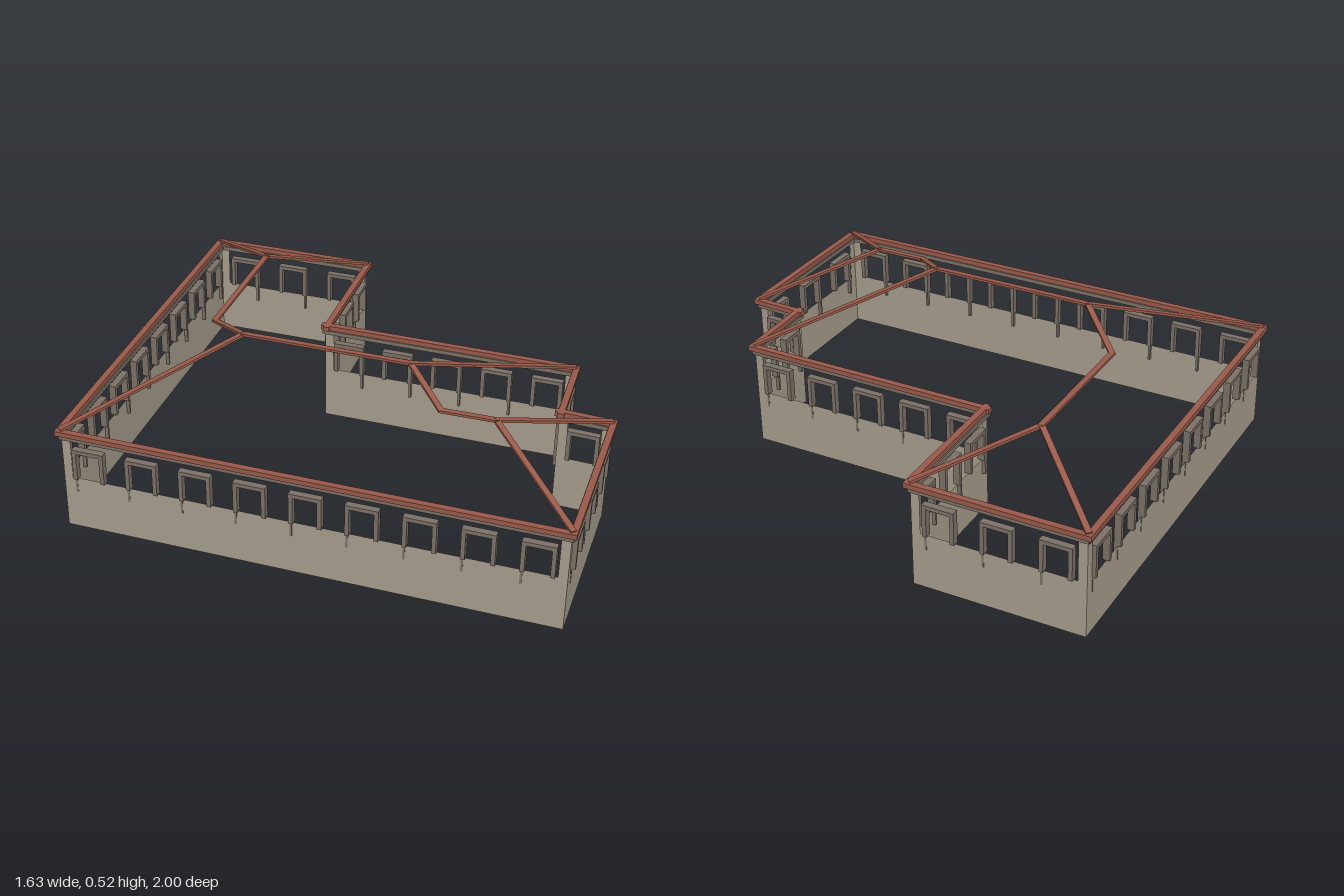
import * as THREE from 'three';

const wallMat = new THREE.MeshStandardMaterial({ color: 0xa89e8d, side: THREE.DoubleSide });
wallMat.name = 'stone wall';
const trimMat = new THREE.MeshStandardMaterial({ color: 0x7d7268 });
trimMat.name = 'grey timber';
const roofMat = new THREE.MeshStandardMaterial({ color: 0x9a5a4a });
roofMat.name = 'red roof timber';

// Plan corners (x, z), walked with the interior on the local +z side
const corners = [
  [0.015, -0.98], [0.435, -0.645], [0.155, -0.295], [0.795, 0.22],
  [0.635, 0.43], [0.755, 0.535], [0.395, 0.98], [-0.795, 0.018],
];
const windowCounts = [3, 3, 5, 2, 1, 3, 9, 8];

const SILL = 0.18, HEAD = 0.285, EAVE = 0.343;

function box(parent, name, mat, size, pos) {
  const mesh = new THREE.Mesh(new THREE.BoxGeometry(...size), mat);
  mesh.name = name;
  mesh.position.set(...pos);
  parent.add(mesh);
  return mesh;
}

function sheet(parent, name, x0, x1, y0, y1) {
  const mesh = new THREE.Mesh(new THREE.PlaneGeometry(x1 - x0, y1 - y0), wallMat);
  mesh.name = name;
  mesh.position.set((x0 + x1) / 2, (y0 + y1) / 2, 0);
  parent.add(mesh);
}

// Open window casing standing on the sill, with one long jamb
function windowFrame(width) {
  const g = new THREE.Group();
  g.name = 'windowFrame';
  const t = 0.013, depth = 0.022, h = HEAD - SILL;
  box(g, 'windowHead', trimMat, [width, t, depth], [0, HEAD - t / 2, 0]);
  box(g, 'windowJamb', trimMat, [t, h - t, depth], [-width / 2 + t / 2, SILL + (h - t) / 2, 0]);
  box(g, 'windowJamb', trimMat, [t, h - t, depth], [width / 2 - t / 2, SILL + (h - t) / 2, 0]);
  box(g, 'jambFoot', trimMat, [0.007, 0.05, 0.012], [width / 2 - 0.004, SILL - 0.025, 0.005]);
  return g;
}

// One side of the building, built along local x
function buildSide(a, b, count) {
  const dx = b[0] - a[0], dz = b[1] - a[1], length = Math.hypot(dx, dz);
  const side = new THREE.Group();
  side.name = 'wallSide';
  side.position.set(a[0], 0, a[1]);
  side.rotation.y = -Math.atan2(dz, dx);

  sheet(side, 'lowerWall', 0, length, 0, SILL);
  sheet(side, 'cornerPost', 0, 0.028, SILL, 0.314);
  sheet(side, 'cornerPost', length - 0.028, length, SILL, 0.314);

  const step = length / count;
  for (let i = 0; i < count; i++) {
    const frame = windowFrame(Math.min(0.1, step * 0.64));
    frame.position.x = (i + 0.5) * step;
    side.add(frame);
  }

  // Wall plate with the eave board on top
  box(side, 'wallPlate', trimMat, [length + 0.01, 0.014, 0.018], [length / 2, 0.32, 0]);
  box(side, 'eaveBoard', roofMat, [length + 0.028, 0.016, 0.02], [length / 2, EAVE - 0.008, -0.005]);
  return side;
}

// Flat timber between two points, kept level across its width
function beam(name, from, to) {
  const a = new THREE.Vector3(...from), b = new THREE.Vector3(...to);
  const mesh = new THREE.Mesh(new THREE.BoxGeometry(0.018, 0.008, a.distanceTo(b) + 0.008), roofMat);
  mesh.name = name;
  mesh.position.copy(a).add(b).multiplyScalar(0.5);
  mesh.lookAt(b);
  return mesh;
}

export function createModel() {
  const model = new THREE.Group();
  model.name = 'pavilionFrame';

  corners.forEach((c, i) => {
    model.add(buildSide(c, corners[(i + 1) % corners.length], windowCounts[i]));
  });

  // Ridge line through the roof, stepping between three heights
  const ridge = [
    [0.06, 0.456, -0.61], [-0.23, 0.456, -0.255], [-0.205, 0.518, -0.045],
    [0.205, 0.518, 0.285], [0.222, 0.464, 0.475], [0.35, 0.464, 0.575],
  ];
  for (let i = 0; i < ridge.length - 1; i++) model.add(beam('ridgeBeam', ridge[i], ridge[i + 1]));

  // Hips from the outer corners up to the ridge: [corner, ridge point]
  for (const [c, r] of [[0, 0], [1, 0], [7, 2], [3, 3], [5, 5], [6, 5]]) {
    model.add(beam('hipBeam', [corners[c][0], EAVE + 0.002, corners[c][1]], ridge[r]));
  }
  return model;
}
